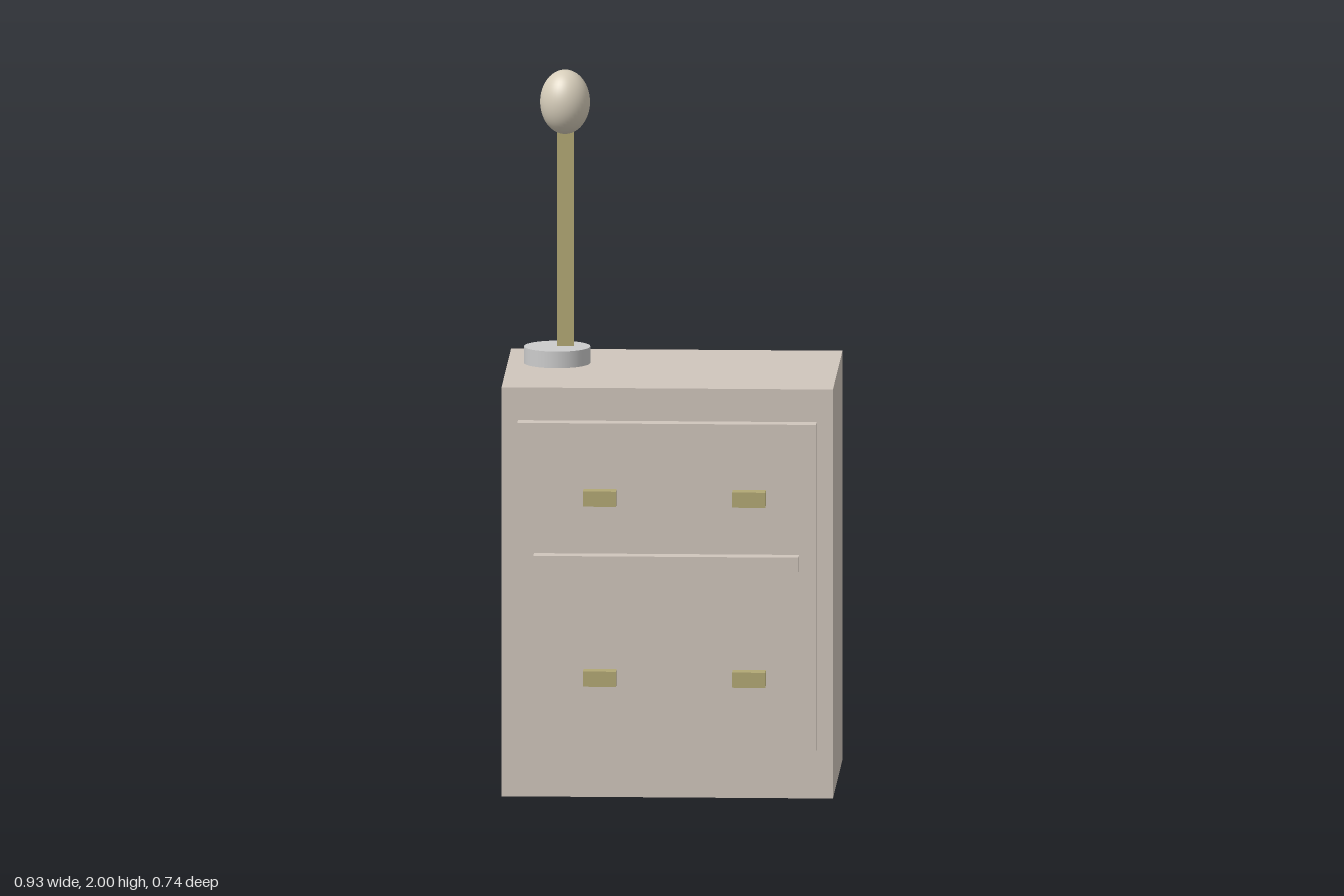
import * as THREE from 'three';

const material = (color, side = THREE.FrontSide) => new THREE.MeshStandardMaterial({ color, side });

export function createModel() {
  const model = new THREE.Group();
  const wood = material(0xd0c6bc);
  const brass = material(0xb2a874);

  const add = (name, geometry, mat, x, y, z) => {
    const mesh = new THREE.Mesh(geometry, mat);
    mesh.name = name;
    mesh.position.set(x, y, z);
    model.add(mesh);
    return mesh;
  };
  // Box given by its lower and upper corners
  const addBox = (name, mat, [x0, y0, z0], [x1, y1, z1]) =>
    add(name, new THREE.BoxGeometry(x1 - x0, y1 - y0, z1 - z0), mat,
      (x0 + x1) / 2, (y0 + y1) / 2, (z0 + z1) / 2);

  // Cabinet with raised front panel and dividing rail
  addBox('cabinetBody', wood, [-0.465, 0, -0.372], [0.465, 1.163, 0.279]);
  addBox('frontPanel', wood, [-0.419, 0.14, 0.279], [0.419, 1.07, 0.325]);
  addBox('dividerRail', wood, [-0.372, 0.656, 0.325], [0.372, 0.7, 0.372]);

  // Four drawer handles
  for (const y of [0.329, 0.841]) {
    for (const x of [-0.233, 0.186]) {
      addBox('handle', brass, [x, y, 0.325], [x + 0.093, y + 0.043, 0.372]);
    }
  }

  // Lamp: round base, flat stem and egg-shaped bulb
  add('lampBase', new THREE.CylinderGeometry(0.093, 0.093, 0.047, 48), material(0xcccccc),
    -0.326, 1.1865, -0.14);
  add('lampStem', new THREE.PlaneGeometry(0.047, 0.65), material(0xb2a874, THREE.DoubleSide),
    -0.303, 1.535, -0.14);
  const bulb = add('lampBulb', new THREE.SphereGeometry(1, 40, 28), material(0xd6cdba),
    -0.303, 1.909, -0.118);
  bulb.scale.set(0.07, 0.091, 0.07);

  return model;
}
